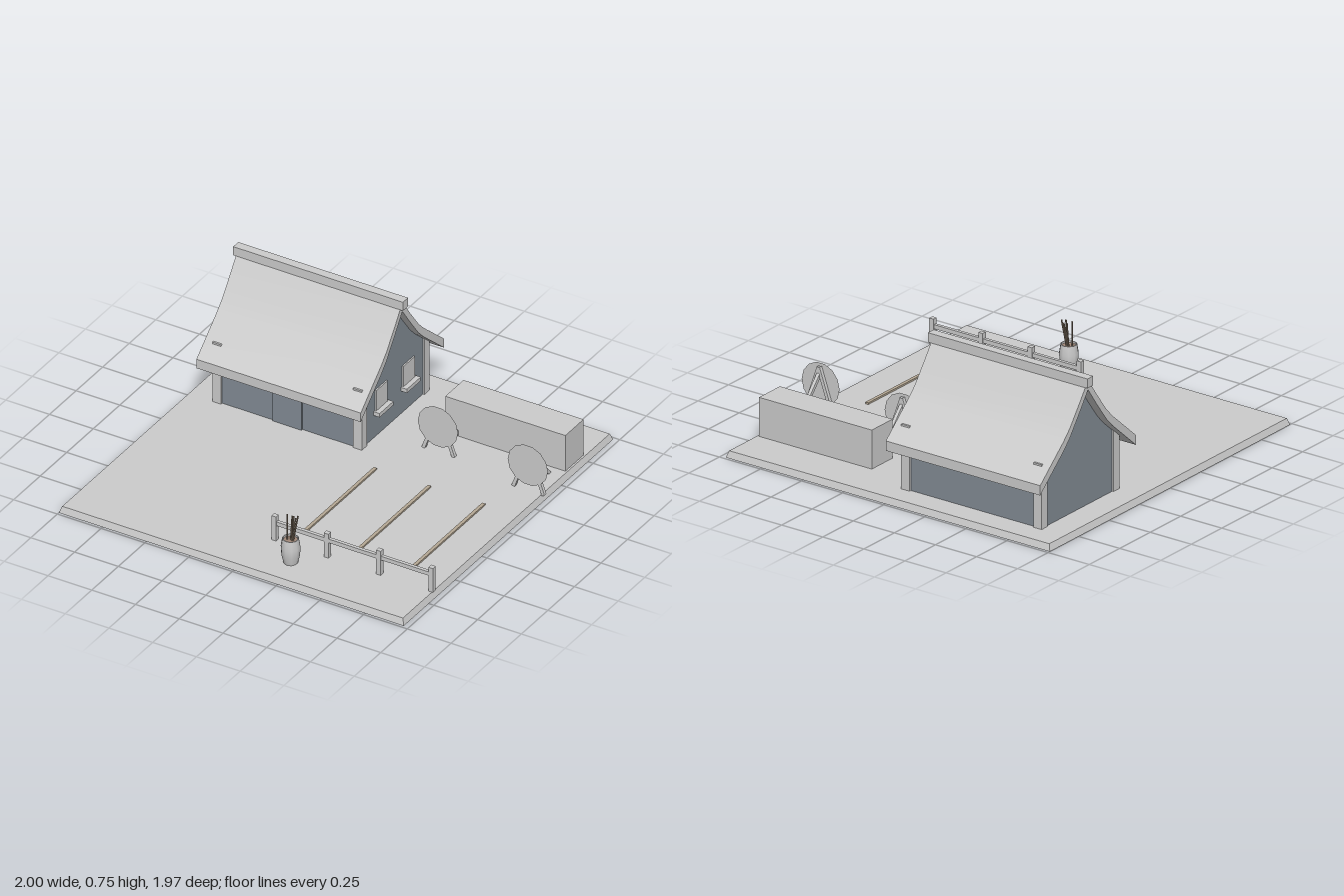
import * as THREE from 'three';
import { toCreasedNormals } from 'three/addons/utils/BufferGeometryUtils.js';

const mat = (color = 0xcccccc, extra = {}) => new THREE.MeshStandardMaterial({ color, ...extra });
const grey = mat();
const thin = mat(0xcccccc, { side: THREE.DoubleSide });
const plaster = mat(0x828b94);
const wood = mat(0x8a7a68);
const paleWood = mat(0xb5a894);
const GROUND = 0.035;

function add(parent, name, geometry, material = grey) {
  const mesh = new THREE.Mesh(geometry, material);
  mesh.name = name;
  parent.add(mesh);
  return mesh;
}

// Box given by its limits on each axis
function box(parent, name, [x0, x1], [y0, y1], [z0, z1], material) {
  const mesh = add(parent, name, new THREE.BoxGeometry(x1 - x0, y1 - y0, z1 - z0), material);
  mesh.position.set((x0 + x1) / 2, (y0 + y1) / 2, (z0 + z1) / 2);
}

// Straight square bar or round stick between two points
function bar(parent, name, a, b, size, material = grey, round = false) {
  const from = new THREE.Vector3(...a), to = new THREE.Vector3(...b);
  const dir = to.clone().sub(from), len = dir.length();
  const geometry = round
    ? new THREE.CylinderGeometry(size / 2, size / 2, len, 6)
    : new THREE.BoxGeometry(size, len, size);
  const mesh = add(parent, name, geometry, material);
  mesh.position.copy(from).add(to).multiplyScalar(0.5);
  mesh.quaternion.setFromUnitVectors(new THREE.Vector3(0, 1, 0), dir.normalize());
}

// Profile in the (z, y) plane extruded along x from x1 back to x0
function extrudeX(points, x0, x1) {
  const shape = new THREE.Shape(points.map(([z, y]) => new THREE.Vector2(z, y)));
  const g = new THREE.ExtrudeGeometry(shape, { depth: x1 - x0, bevelEnabled: false });
  g.rotateY(-Math.PI / 2);
  g.translate(x1, 0, 0);
  return toCreasedNormals(g, 0.5);
}

function buildGround(root) {
  // Slab with sloping sides
  const g = new THREE.BoxGeometry(1.971, GROUND, 1.972);
  const p = g.attributes.position;
  for (let i = 0; i < p.count; i++) {
    if (p.getY(i) > 0) {
      p.setX(i, p.getX(i) - Math.sign(p.getX(i)) * 0.012);
      p.setZ(i, p.getZ(i) - Math.sign(p.getZ(i)) * 0.012);
    }
  }
  g.computeVertexNormals();
  add(root, 'ground', g).position.set(-0.0145, GROUND / 2, 0);
}

function buildHouse(root) {
  const house = new THREE.Group();
  house.name = 'house';
  house.position.z = -0.536;
  root.add(house);

  // Sweeping roof: straight eave, steeper towards the ridge, mirrored
  const half = [[0.393, 0.305], [0.2, 0.474], [0.15, 0.526], [0.07, 0.633]];
  const outer = [...half, [0, 0.732], ...half.map(([z, y]) => [-z, y]).reverse()];
  const inner = outer.map(([z, y]) => [z, y - 0.052]);
  add(house, 'roof', extrudeX([...outer, ...[...inner].reverse()], -0.899, 0.04));
  box(house, 'ridgeBeam', [-0.914, 0.056], [0.7, 0.75], [-0.026, 0.022]);

  // Walls with gables that follow the underside of the roof
  add(house, 'walls', extrudeX([
    [0.308, GROUND], [0.308, 0.33], ...inner.slice(1, -1), [-0.308, 0.33], [-0.308, GROUND]], -0.845, -0.008), plaster);

  // Corner posts
  for (const x of [-0.828, -0.024])
    for (const s of [-1, 1])
      box(house, 'cornerPost', [x - 0.025, x + 0.025], [GROUND, 0.379], [s * 0.295 - 0.024, s * 0.295 + 0.024]);

  box(house, 'door', [-0.51, -0.345], [GROUND, 0.32], [0.3, 0.317], plaster);

  // Windows and sills on the left gable
  for (const z of [0.127, -0.13]) {
    box(house, 'window', [-0.02, 0], [0.18, 0.305], [z - 0.053, z + 0.053]);
    box(house, 'windowSill', [-0.015, 0.026], [0.165, 0.187], [z - 0.065, z + 0.065]);
  }
}

function buildTarget(root, x, z) {
  const target = new THREE.Group();
  target.name = 'target';
  target.position.set(x, 0, z);
  root.add(target);
  add(target, 'targetFace', new THREE.CircleGeometry(0.115, 14), thin).position.set(0, 0.185, 0.011);
  // Splayed front legs and a back strut
  for (const s of [-1, 1])
    bar(target, 'frontLeg', [s * 0.086, GROUND, 0], [0, 0.28, 0], 0.018);
  bar(target, 'backStrut', [0, GROUND - 0.005, -0.188], [0, 0.245, 0], 0.018);
}

function buildFence(root) {
  const fence = new THREE.Group();
  fence.name = 'fence';
  fence.position.z = 0.688;
  root.add(fence);
  for (let i = 0; i < 4; i++) {
    const x = 0.055 + i * 0.299;
    box(fence, 'fencePost', [x - 0.013, x + 0.013], [GROUND, 0.174], [-0.013, 0.013]);
  }
  box(fence, 'fenceRail', [0.047, 0.963], [0.122, 0.144], [-0.009, 0.009]);
}

function buildArrowPot(root) {
  const pot = new THREE.Group();
  pot.name = 'arrowPot';
  pot.position.set(0.227, 0, 0.825);
  root.add(pot);
  const profile = [[0, GROUND], [0.036, GROUND], [0.047, 0.08], [0.05, 0.125], [0.042, 0.174], [0.037, 0.174], [0.037, 0.16]]
    .map(([r, y]) => new THREE.Vector2(r, y));
  add(pot, 'pot', toCreasedNormals(new THREE.LatheGeometry(profile, 10), 0.8));
  const fill = add(pot, 'potFilling', new THREE.CircleGeometry(0.038, 10), mat(0xa08878));
  fill.rotation.x = -Math.PI / 2;
  fill.position.y = 0.164;
  // Arrows leaning in the pot: foot x, foot z, tip x, tip z, tip height
  for (const [x, z, tx, tz, h] of [
    [-0.012, 0.01, -0.024, -0.006, 0.3], [0, 0.004, -0.003, -0.02, 0.29], [0.012, 0.01, 0.012, -0.008, 0.3],
    [0.004, 0.004, 0.03, -0.02, 0.3], [-0.004, 0.006, 0.018, -0.018, 0.285]])
    bar(pot, 'arrow', [x, 0.1, z], [tx, h, tz], 0.008, wood, true);
}

export function createModel() {
  const root = new THREE.Group();
  root.name = 'archeryYard';
  buildGround(root);
  buildHouse(root);
  box(root, 'backstop', [0.263, 0.949], [GROUND, 0.242], [-0.743, -0.572]);
  buildTarget(root, 0.33, -0.403);
  buildTarget(root, 0.885, -0.335);
  // Lane markers lying on the ground
  for (const x of [0.145, 0.455, 0.765])
    box(root, 'laneMarker', [x - 0.009, x + 0.009], [GROUND - 0.005, 0.044], [-0.107, 0.58], paleWood);
  buildFence(root);
  buildArrowPot(root);
  return root;
}
